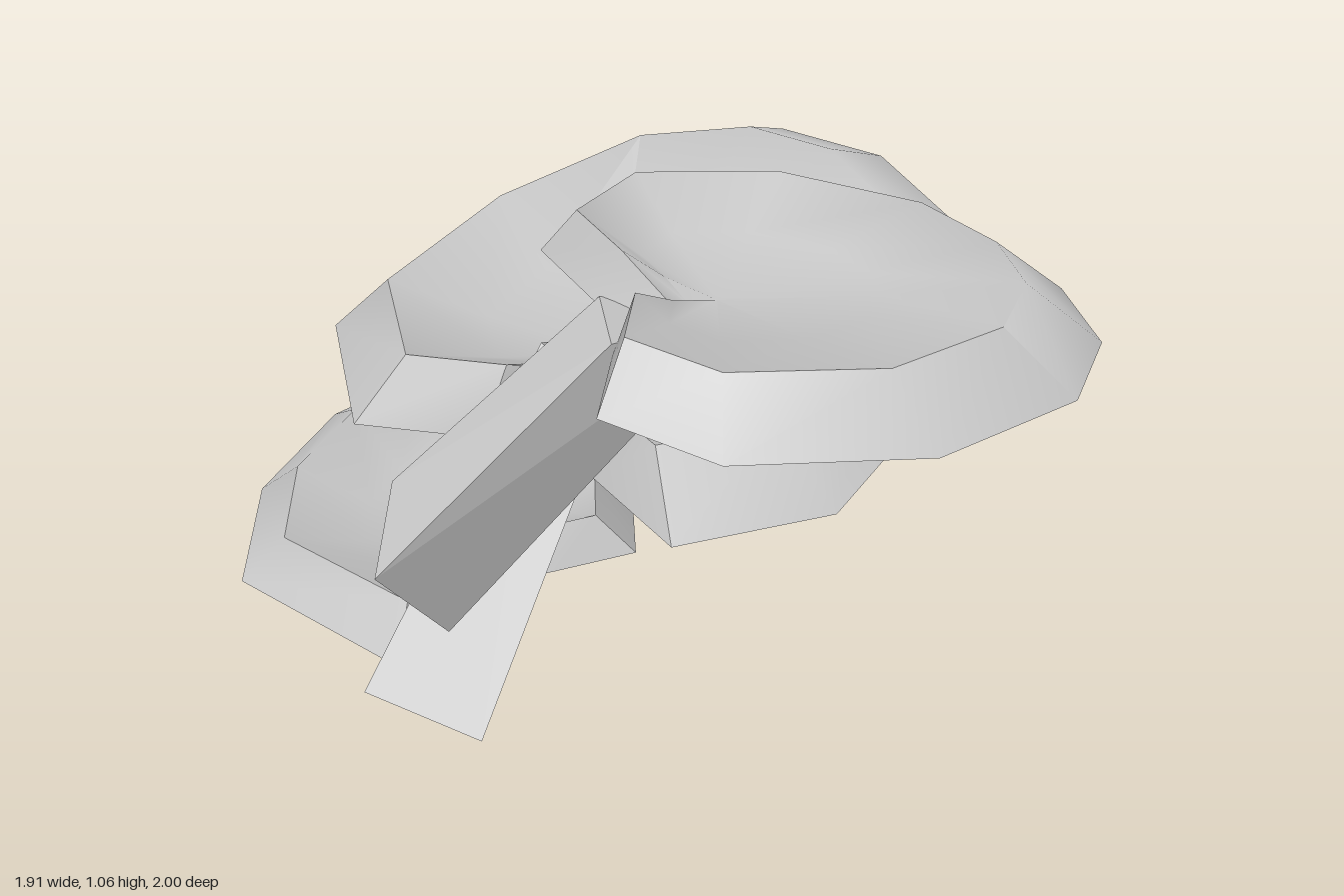
import * as THREE from 'three';
import { toCreasedNormals } from 'three/addons/utils/BufferGeometryUtils.js';
import { ConvexGeometry } from 'three/addons/geometries/ConvexGeometry.js';

const material = new THREE.MeshStandardMaterial({ color: 0xcccccc });

// Leaf pad: flat underside, raised ring inside the rim, dished middle.
// The first rim point is the inner end of the notch; base(x, z) is the underside height.
function makePad(name, rim, center, base, rise) {
  const rings = [[1, 0], [0.78, 1], [0.42, 0.6]]; // [scale toward centre, share of rise]
  const n = rim.length;
  const positions = [];
  const index = [];
  for (const [scale, share] of rings) {
    rim.forEach(([px, pz], i) => {
      const x = center[0] + (px - center[0]) * scale;
      const z = center[1] + (pz - center[1]) * scale;
      const lift = rise * share * (i === 0 ? 0.45 : 1);
      positions.push(x, base(x, z) + lift, z);
    });
  }
  const bottom = base(...center);
  positions.push(center[0], bottom + rise * 0.3, center[1]);
  positions.push(center[0], bottom, center[1]);
  const topMid = n * rings.length;
  for (let i = 0; i < n; i++) {
    const j = (i + 1) % n;
    for (let r = 0; r < rings.length - 1; r++) {
      const a = r * n + i, b = r * n + j;
      index.push(a, b, b + n, a, b + n, a + n);
    }
    const last = (rings.length - 1) * n;
    index.push(last + i, last + j, topMid);
    index.push(j, i, topMid + 1);
  }
  const geometry = new THREE.BufferGeometry();
  geometry.setAttribute('position', new THREE.Float32BufferAttribute(positions, 3));
  geometry.setIndex(index);
  const mesh = new THREE.Mesh(toCreasedNormals(geometry, 0.9), material);
  mesh.name = name;
  return mesh;
}

// Three-sided stem spanning a lower and an upper triangle
function makeStem(name, corners) {
  const points = corners.map((c) => new THREE.Vector3(...c));
  const mesh = new THREE.Mesh(new ConvexGeometry(points), material);
  mesh.name = name;
  return mesh;
}

export function createModel() {
  const group = new THREE.Group();
  group.name = 'leafPads';

  // Low pad on the right, tilted up toward the stem
  group.add(makePad('lowerPad', [
    [-0.2, 0.46], [-0.08, 0.34], [0.05, 0.2], [-0.05, 0.03], [-0.41, -0.31], [-0.7, -0.36],
    [-0.87, -0.25], [-0.96, -0.03], [-0.91, 0.33], [-0.7, 0.66], [-0.2, 0.77], [-0.17, 0.58],
  ], [-0.32, 0.36], (x, z) => Math.max(0, 0.105 + 0.115 * x + 0.11 * z), 0.11));

  // Large middle pad, its back half bent upward
  group.add(makePad('middlePad', [
    [-0.12, 0.22], [0.06, 0.41], [0.31, 0.53], [0.55, 0.28], [0.59, -0.27], [0.4, -0.8],
    [0.12, -0.99], [-0.16, -1], [-0.46, -0.82], [-0.7, -0.36], [-0.72, 0.21], [-0.46, 0.5],
    [-0.2, 0.41],
  ], [-0.1, 0.06], (x, z) => 0.49 + (z < -0.3 ? (-0.3 - z) * 0.115 : (z + 0.3) * 0.036), 0.15));

  // High pad on the left, tilted up toward the front
  group.add(makePad('upperPad', [
    [0.2, 0.4], [0.19, 0.54], [0.26, 0.72], [0.5, 0.71], [0.8, 0.46], [0.95, 0.13],
    [0.93, -0.1], [0.8, -0.25], [0.57, -0.32], [0.2, -0.23], [-0.09, 0.02], [-0.11, 0.29],
    [0.07, 0.39],
  ], [0.28, 0.29], (x, z) => 0.905 - 0.084 * x + 0.09 * z, 0.125));

  // Stems
  group.add(makeStem('middleStem', [
    [-0.21, 0.18, 0.87], [0.07, 0.18, 0.87], [-0.18, 0.24, 0.39],
    [-0.15, 0.67, 0.24], [0.05, 0.62, 0.3], [-0.19, 0.51, -0.01],
  ]));
  group.add(makeStem('upperStem', [
    [-0.04, 0.67, 1], [-0.16, 0.68, 0.77], [-0.03, 0.38, 0.81],
    [0.19, 0.97, 0.54], [0.08, 0.95, 0.39], [0.32, 0.89, 0.23],
  ]));
  return group;
}
